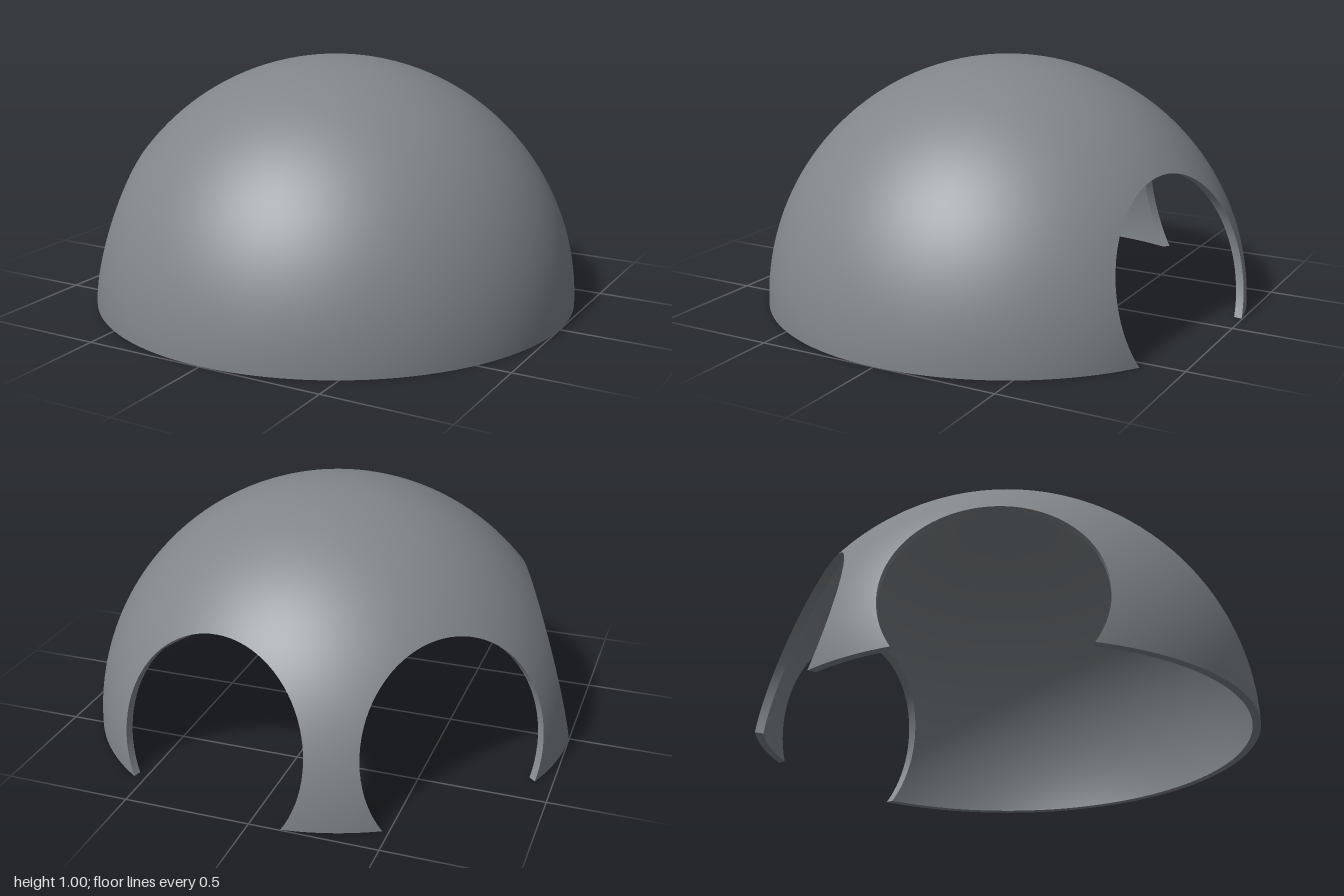
import * as THREE from 'three';
import { mergeGeometries } from 'three/addons/utils/BufferGeometryUtils.js';

const OUTER = 1, INNER = 0.968;             // shell radii
const HOLE_R = 0.407, HOLE_Y = 0.218;       // round openings cut horizontally through the wall
const HOLES = [-110, -48.5, 13];            // opening directions, degrees from the back (-z) towards +x
const ARCH = 28, CAP = 22;                  // rows beside and above the openings
const rad = THREE.MathUtils.degToRad;

// Height of a row: beside the openings, then up to the pole
function rowHeight(R, j) {
  if (j <= ARCH) {
    const low = Math.asin(-HOLE_Y / HOLE_R);
    return HOLE_Y + HOLE_R * Math.sin(low + (Math.PI / 2 - low) * j / ARCH);
  }
  const lat = Math.asin((HOLE_Y + HOLE_R) / R);
  return R * Math.sin(lat + (Math.PI / 2 - lat) * (j - ARCH) / CAP);
}

// Point on a sphere of radius R; u runs from one opening's edge to the next one's
function shellPoint(R, from, to, u, j) {
  const y = rowHeight(R, j);
  const rho = Math.sqrt(Math.max(0, R * R - y * y));
  const chord = j < ARCH ? Math.sqrt(HOLE_R ** 2 - (y - HOLE_Y) ** 2) : 0;
  const half = chord > 0 ? Math.asin(chord / rho) : 0;
  const a = THREE.MathUtils.lerp(from + half, to - half, u);
  return new THREE.Vector3(rho * Math.sin(a), y, -rho * Math.cos(a));
}

// Grid surface from a point rule; normalSign gives exact sphere normals
function surface(nu, nv, point, flip, normalSign = 0) {
  const pos = [], nor = [], index = [];
  for (let j = 0; j <= nv; j++) for (let i = 0; i <= nu; i++) {
    const p = point(i, j);
    pos.push(p.x, p.y, p.z);
    p.normalize().multiplyScalar(normalSign);
    nor.push(p.x, p.y, p.z);
  }
  for (let j = 0; j < nv; j++) for (let i = 0; i < nu; i++) {
    const a = j * (nu + 1) + i, b = a + 1, d = a + nu + 1, c = d + 1;
    if (flip) index.push(a, c, b, a, d, c);
    else index.push(a, b, c, a, c, d);
  }
  const g = new THREE.BufferGeometry();
  g.setAttribute('position', new THREE.Float32BufferAttribute(pos, 3));
  g.setAttribute('normal', new THREE.Float32BufferAttribute(nor, 3));
  g.setIndex(index);
  if (!normalSign) g.computeVertexNormals();
  return g;
}

export function createModel() {
  const model = new THREE.Group();
  model.name = 'dome';
  const grey = new THREE.MeshStandardMaterial({ color: 0x80868a });
  grey.name = 'slate grey';

  const parts = { outerShell: [], innerShell: [], openingEdges: [], bottomRim: [] };
  HOLES.forEach((start, k) => {
    const end = k < 2 ? HOLES[k + 1] : HOLES[0] + 360;
    const from = rad(start), to = rad(end);
    const n = Math.round((end - start) / 3);
    const rows = ARCH + CAP;
    // Curved wall, outside and inside
    parts.outerShell.push(surface(n, rows, (i, j) => shellPoint(OUTER, from, to, i / n, j), true, 1));
    parts.innerShell.push(surface(n, rows, (i, j) => shellPoint(INNER, from, to, i / n, j), false, -1));
    // Wall thickness along both neighbouring openings
    for (const u of [0, 1]) {
      parts.openingEdges.push(
        surface(1, ARCH, (i, j) => shellPoint(i ? INNER : OUTER, from, to, u, j), u === 1));
    }
    // Flat underside
    parts.bottomRim.push(surface(n, 1, (i, j) => shellPoint(j ? INNER : OUTER, from, to, i / n, 0), false));
  });

  for (const [name, list] of Object.entries(parts)) {
    const mesh = new THREE.Mesh(mergeGeometries(list), grey);
    mesh.name = name;
    mesh.position.z = -0.004;
    model.add(mesh);
  }
  return model;
}
